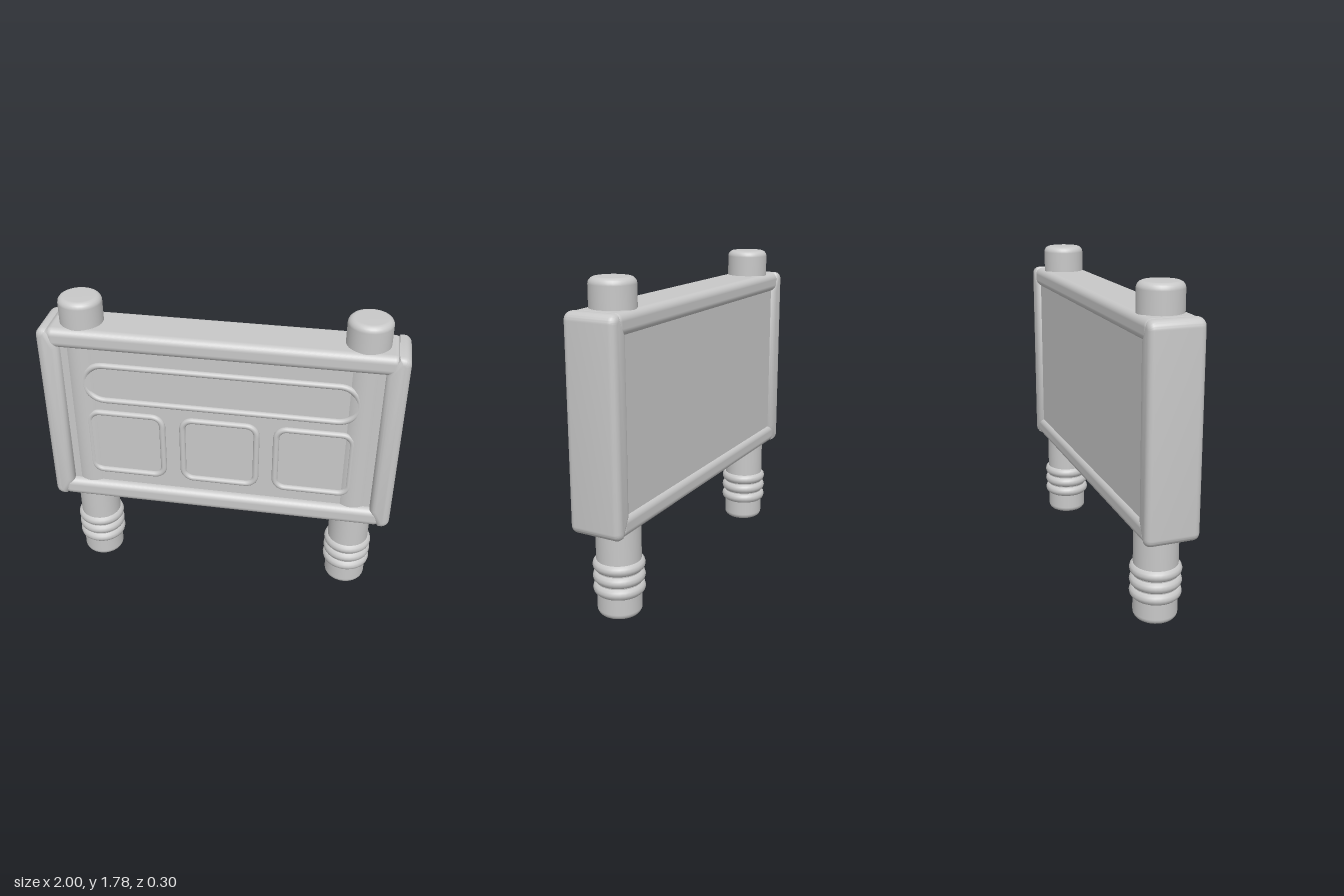
import * as THREE from 'three';
import { toCreasedNormals } from 'three/addons/utils/BufferGeometryUtils.js';
import { RoundedBoxGeometry } from 'three/addons/geometries/RoundedBoxGeometry.js';

export function createModel() {
  const model = new THREE.Group();
  const grey = new THREE.MeshStandardMaterial({ color: 0xc8c8c8 });
  grey.name = 'light grey';

  const add = (name, geometry, x = 0, y = 0, z = 0) => {
    const mesh = new THREE.Mesh(geometry, grey);
    mesh.name = name;
    mesh.position.set(x, y, z);
    model.add(mesh);
    return mesh;
  };

  // Posts with rounded ends and three collar rings
  const profile = [new THREE.Vector2(0, 0)];
  const round = 0.035, radius = 0.12, height = 1.78;
  for (let i = 0; i <= 5; i++) {
    const a = (i / 5) * Math.PI / 2;
    profile.push(new THREE.Vector2(radius - round + round * Math.sin(a), round - round * Math.cos(a)));
  }
  for (let i = 0; i <= 5; i++) {
    const a = (i / 5) * Math.PI / 2;
    profile.push(new THREE.Vector2(radius - round + round * Math.cos(a), height - round + round * Math.sin(a)));
  }
  profile.push(new THREE.Vector2(0, height));
  const postGeometry = new THREE.LatheGeometry(profile, 32);
  const ringGeometry = new THREE.TorusGeometry(0.107, 0.033, 12, 32).rotateX(Math.PI / 2);
  for (const [side, x] of [['left', 0.775], ['right', -0.775]]) {
    add(side + 'Post', postGeometry, x);
    for (const y of [0.152, 0.218, 0.284]) add(side + 'PostRing', ringGeometry, x, y);
  }

  // Panel between the rails
  add('panel', new THREE.BoxGeometry(1.84, 1.0, 0.222), 0, 1.065, -0.011);

  // Top and bottom rails
  const railGeometry = new RoundedBoxGeometry(1.9, 0.115, 0.284, 4, 0.04);
  add('topRail', railGeometry, 0, 1.572);
  add('bottomRail', railGeometry, 0, 0.558);

  // Side rails with mitred inner corners
  const s = new THREE.Shape();
  const halfHeight = 0.565, r = 0.045;
  s.moveTo(0.88, 0.455);
  s.lineTo(0.88, -0.455);
  s.lineTo(0.935, -halfHeight);
  s.lineTo(1 - r, -halfHeight);
  s.absarc(1 - r, -halfHeight + r, r, -Math.PI / 2, 0);
  s.lineTo(1, halfHeight - r);
  s.absarc(1 - r, halfHeight - r, r, 0, Math.PI / 2);
  s.lineTo(0.935, halfHeight);
  s.closePath();
  const bevel = 0.035;
  const side = toCreasedNormals(new THREE.ExtrudeGeometry(s, {
    depth: 0.296 - 2 * bevel, bevelSize: bevel, bevelOffset: -bevel,
    bevelThickness: bevel, bevelSegments: 4, curveSegments: 6,
  }).translate(0, 0, -0.148 + bevel), 0.7);
  add('leftRail', side, 0, 1.065);
  add('rightRail', side, 0, 1.065).rotation.y = Math.PI;

  // Raised outlines on the panel front: one long slot and three squares
  const outline = (name, cx, cy, w, h, corner) => {
    const p = new THREE.Shape();
    const x = w / 2 - corner, y = h / 2 - corner;
    p.absarc(x, y, corner, 0, Math.PI / 2);
    p.absarc(-x, y, corner, Math.PI / 2, Math.PI);
    p.absarc(-x, -y, corner, Math.PI, Math.PI * 1.5);
    p.absarc(x, -y, corner, Math.PI * 1.5, Math.PI * 2);
    p.closePath();
    const points = p.getSpacedPoints(100).slice(0, -1).map(q => new THREE.Vector3(q.x, q.y, 0));
    const path = new THREE.CatmullRomCurve3(points, true);
    add(name, new THREE.TubeGeometry(path, 160, 0.018, 10, true), cx, cy, 0.102);
  };
  outline('longSlotTrim', 0, 1.3, 1.524, 0.224, 0.111);
  for (const x of [-0.54, 0, 0.535]) outline('squareTrim', x, 0.9, 0.424, 0.404, 0.06);

  return model;
}
